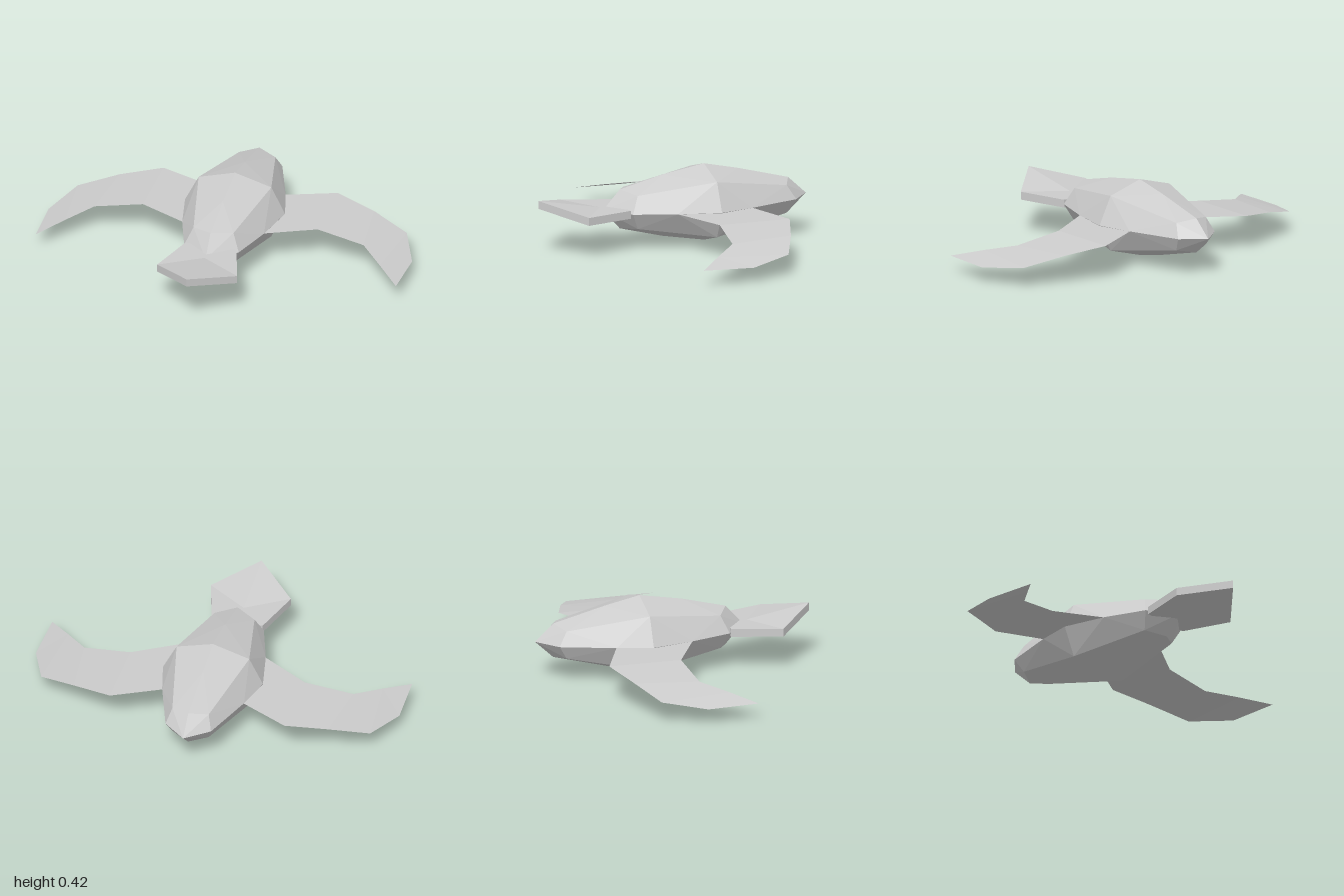
import * as THREE from 'three';

const v = (x, y, z) => new THREE.Vector3(x, y, z);

// Flat-shaded mesh from triangles; each is turned to face away from `centre` if given
function facetMesh(name, tris, centre) {
  const pts = [];
  for (const [a, b, c] of tris) {
    const n = b.clone().sub(a).cross(c.clone().sub(a));
    const inward = centre && n.dot(a.clone().add(b).add(c).divideScalar(3).sub(centre)) < 0;
    pts.push(...(inward ? [a, c, b] : [a, b, c]));
  }
  const geometry = new THREE.BufferGeometry().setFromPoints(pts);
  geometry.computeVertexNormals();
  const material = new THREE.MeshStandardMaterial({
    color: 0xcccccc, flatShading: true, side: centre ? THREE.FrontSide : THREE.DoubleSide,
  });
  const mesh = new THREE.Mesh(geometry, material);
  mesh.name = name;
  return mesh;
}

// Triangles joining a hub to a closed loop of points
const fan = (hub, loop) => loop.map((p, i) => [hub, p, loop[(i + 1) % loop.length]]);

// Body: widest ring of eight, then at each end four raised facets, a smaller ring and a tip
function createBody() {
  const Y = 0.208, Z = -0.18;
  // direction 0 = left, 2 = top, 4 = right, 6 = bottom; odd = diagonals
  const ring = (side, top, diag) => Array.from({ length: 8 }, (_, i) => {
    const a = i * Math.PI / 4, c = Math.cos(a), s = Math.sin(a);
    if (i % 2) return v(Math.sign(c) * diag[0], Y + Math.sign(s) * diag[1], diag[2]);
    const r = i % 4 ? top : side;
    return v(c * r[0], Y + s * r[0], r[1]);
  });
  const belly = ring([0.275, Z], [0.208, Z], [0.2, 0.15, Z]);
  const ends = [
    { tip: 0.39, ring: ring([0.15, 0.275], [0.106, 0.295], [0.11, 0.09, 0.235]), side: [0.225, 0.05], top: [0.167, 0.055] },
    { tip: -0.755, ring: ring([0.125, -0.655], [0.093, -0.655], [0.1, 0.075, -0.61]), side: [0.225, -0.37], top: [0.167, -0.37] },
  ];
  const tris = [];
  for (const e of ends) {
    tris.push(...fan(v(0, Y, e.tip), e.ring));
    const hubs = ring(e.side, e.top, [0, 0, 0]);
    for (let i = 0; i < 8; i += 2) {
      const p = (i + 7) % 8, n = i + 1;
      tris.push(...fan(hubs[i], [belly[p], belly[i], belly[n], e.ring[n], e.ring[i], e.ring[p]]));
    }
  }
  return facetMesh('body', tris, v(0, Y, Z));
}

// Wedge at the +z end: flared pentagon slab rising to its point
function createTail() {
  const top = [v(-0.14, 0.228, 0.285), v(-0.22, 0.23, 0.55), v(0, 0.29, 0.755), v(0.22, 0.23, 0.55), v(0.14, 0.228, 0.285)];
  const drop = p => v(p.x, p.y - 0.043, p.z);
  const hub = v(0, 0.227, 0.41);
  const tris = [...fan(hub, top), ...fan(drop(hub), top.map(drop))];
  top.forEach((p, i) => {
    const q = top[(i + 1) % top.length];
    tris.push([p, q, drop(q)], [p, drop(q), drop(p)]);
  });
  return facetMesh('tail', tris, v(0, 0.205, 0.42));
}

// Thin swept wing: pairs of leading and trailing edge points, root to tip
function createWing(name, side) {
  const spans = [
    [[0.22, 0.208, -0.37], [0.22, 0.208, 0.05]],
    [[0.48, 0.196, -0.485], [0.48, 0.196, -0.09]],
    [[0.7, 0.163, -0.41], [0.74, 0.155, -0.065]],
    [[0.905, 0.113, -0.32], [0.865, 0.124, 0.063]],
    [[1, 0.083, -0.09], [0.99, 0.088, 0.19]],
  ].map(pair => pair.map(([x, y, z]) => v(side * x, y, z)));
  const tris = [];
  for (let i = 0; i < spans.length - 1; i++) {
    const [a, b] = spans[i], [c, d] = spans[i + 1];
    tris.push(...(side > 0 ? [[a, b, c], [b, d, c]] : [[a, c, b], [b, c, d]]));
  }
  return facetMesh(name, tris);
}

export function createModel() {
  const bird = new THREE.Group();
  bird.name = 'bird';
  bird.add(createBody(), createTail(), createWing('leftWing', 1), createWing('rightWing', -1));
  return bird;
}
